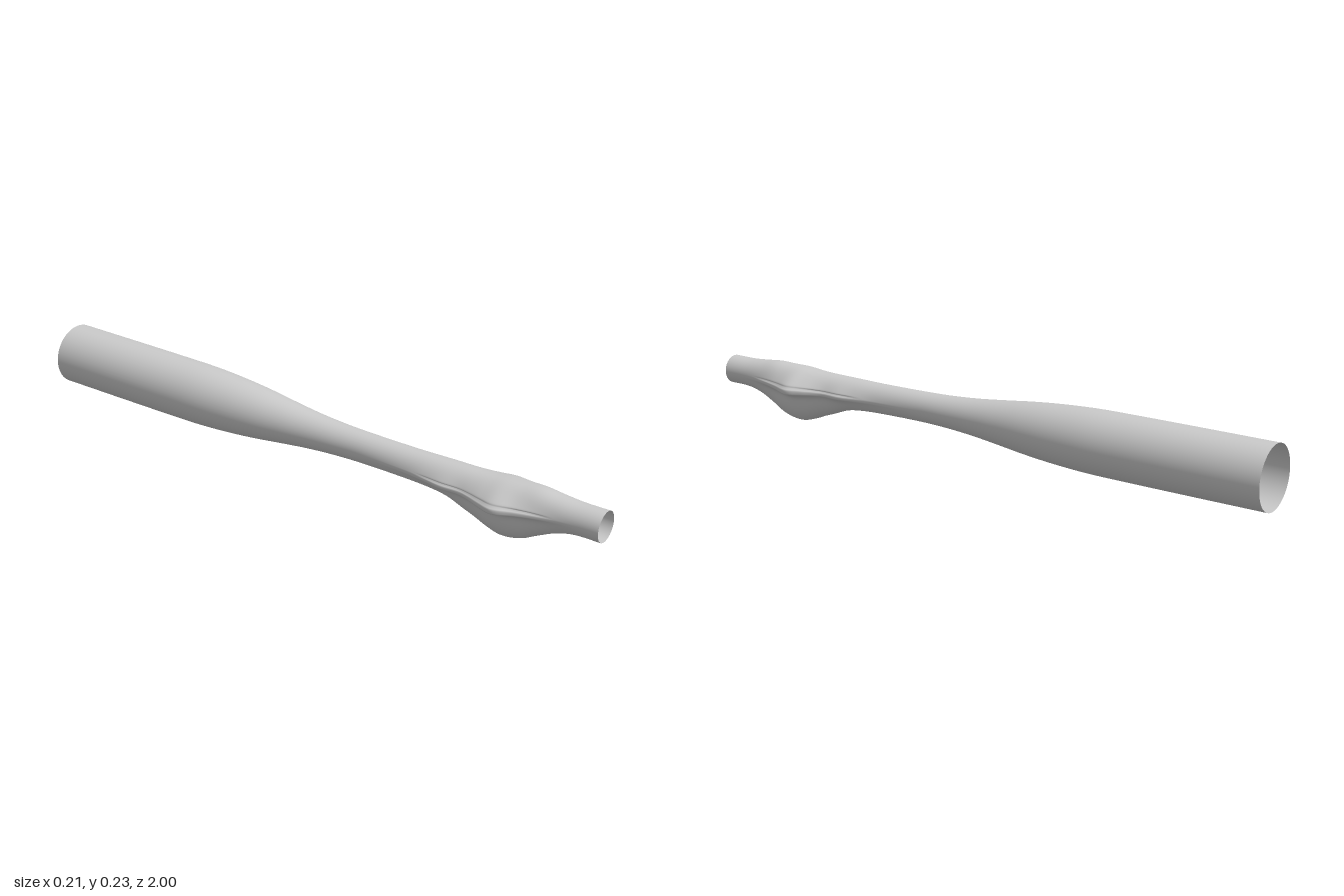
import * as THREE from 'three';

const AXIS_Y = 0.127, SEGMENTS = 144, RINGS = 200;

// Stations along the tube: z, base radius, side wing, belly keel, top ridge
const STATIONS = [
  [1.0, 0.047, 0, 0, 0],
  [0.92, 0.047, 0.001, 0.002, 0],
  [0.86, 0.048, 0.006, 0.016, 0.003],
  [0.8, 0.048, 0.019, 0.044, 0.008],
  [0.75, 0.048, 0.034, 0.069, 0.006],
  [0.69, 0.048, 0.055, 0.079, 0.003],
  [0.64, 0.047, 0.043, 0.068, 0.001],
  [0.6, 0.047, 0.029, 0.052, 0],
  [0.56, 0.047, 0.02, 0.038, 0],
  [0.5, 0.046, 0.023, 0.017, 0],
  [0.44, 0.046, 0.015, 0.008, 0],
  [0.36, 0.046, 0.006, 0.004, 0],
  [0.2, 0.048, 0, 0, 0],
  [0.1, 0.051, 0, 0, 0],
  [0.0, 0.058, 0, 0, 0],
  [-0.1, 0.069, 0, 0, 0],
  [-0.2, 0.081, 0, 0, 0],
  [-0.3, 0.09, 0, 0, 0],
  [-0.42, 0.0965, 0, 0, 0],
  [-0.55, 0.098, 0, 0, 0],
  [-0.75, 0.0985, 0, 0, 0],
  [-1.0, 0.0985, 0, 0, 0],
];

// Smooth (cubic Hermite) interpolation of every station column at z
function sample(z) {
  const n = STATIONS.length;
  let i = 0;
  while (i < n - 2 && z < STATIONS[i + 1][0]) i++;
  const p = STATIONS[i], q = STATIONS[i + 1];
  const before = STATIONS[Math.max(i - 1, 0)], after = STATIONS[Math.min(i + 2, n - 1)];
  const h = q[0] - p[0], t = (z - p[0]) / h;
  return [1, 2, 3, 4].map((k) => {
    const m0 = ((q[k] - before[k]) / (q[0] - before[0])) * h;
    const m1 = ((after[k] - p[k]) / (after[0] - p[0])) * h;
    const t2 = t * t, t3 = t2 * t;
    return (2 * t3 - 3 * t2 + 1) * p[k] + (t3 - 2 * t2 + t) * m0
      + (3 * t2 - 2 * t3) * q[k] + (t3 - t2) * m1;
  });
}

// Radius of the skin at an angle, mirrored left to right
function radiusAt([base, wing, keel, ridge], z, angle) {
  const s = Math.sin(angle);
  const elevation = Math.asin(THREE.MathUtils.clamp(s, -1, 1));
  // blunt-edged wing: long slope above, short one below
  const up = Math.max(elevation, 0), down = Math.max(-elevation - 0.17, 0);
  let r = base + wing * Math.exp(-up / 0.5 - down / 0.26);
  r += keel * Math.pow(Math.max(-s, 0), 2.5);
  r += ridge * Math.pow(Math.max(s, 0), 1.5);
  // narrow slit running along the upper edge of the wing
  const along = THREE.MathUtils.smoothstep(z, 0.4, 0.5) * (1 - THREE.MathUtils.smoothstep(z, 0.78, 0.87));
  r -= 0.006 * along * Math.exp(-Math.pow((elevation - 0.04) / 0.035, 2));
  return r;
}

function createSkin() {
  const positions = [], indices = [];
  for (let i = 0; i <= RINGS; i++) {
    const z = 1 - (2 * i) / RINGS;
    const section = sample(z);
    for (let j = 0; j < SEGMENTS; j++) {
      const angle = (j / SEGMENTS) * Math.PI * 2;
      const r = radiusAt(section, z, angle);
      positions.push(r * Math.cos(angle), AXIS_Y + r * Math.sin(angle), z);
      if (i === RINGS) continue;
      const a = i * SEGMENTS + j, b = i * SEGMENTS + ((j + 1) % SEGMENTS);
      indices.push(a, a + SEGMENTS, b, b, a + SEGMENTS, b + SEGMENTS);
    }
  }
  const geometry = new THREE.BufferGeometry();
  geometry.setAttribute('position', new THREE.Float32BufferAttribute(positions, 3));
  geometry.setIndex(indices);
  geometry.computeVertexNormals();
  return geometry;
}

export function createModel() {
  const model = new THREE.Group();
  model.name = 'sculptedTube';
  // One open-ended shell: wide rear barrel, slim neck and winged, keeled front
  const material = new THREE.MeshStandardMaterial({ color: 0xcccccc, side: THREE.DoubleSide });
  const shell = new THREE.Mesh(createSkin(), material);
  shell.name = 'tubeShell';
  model.add(shell);
  return model;
}
